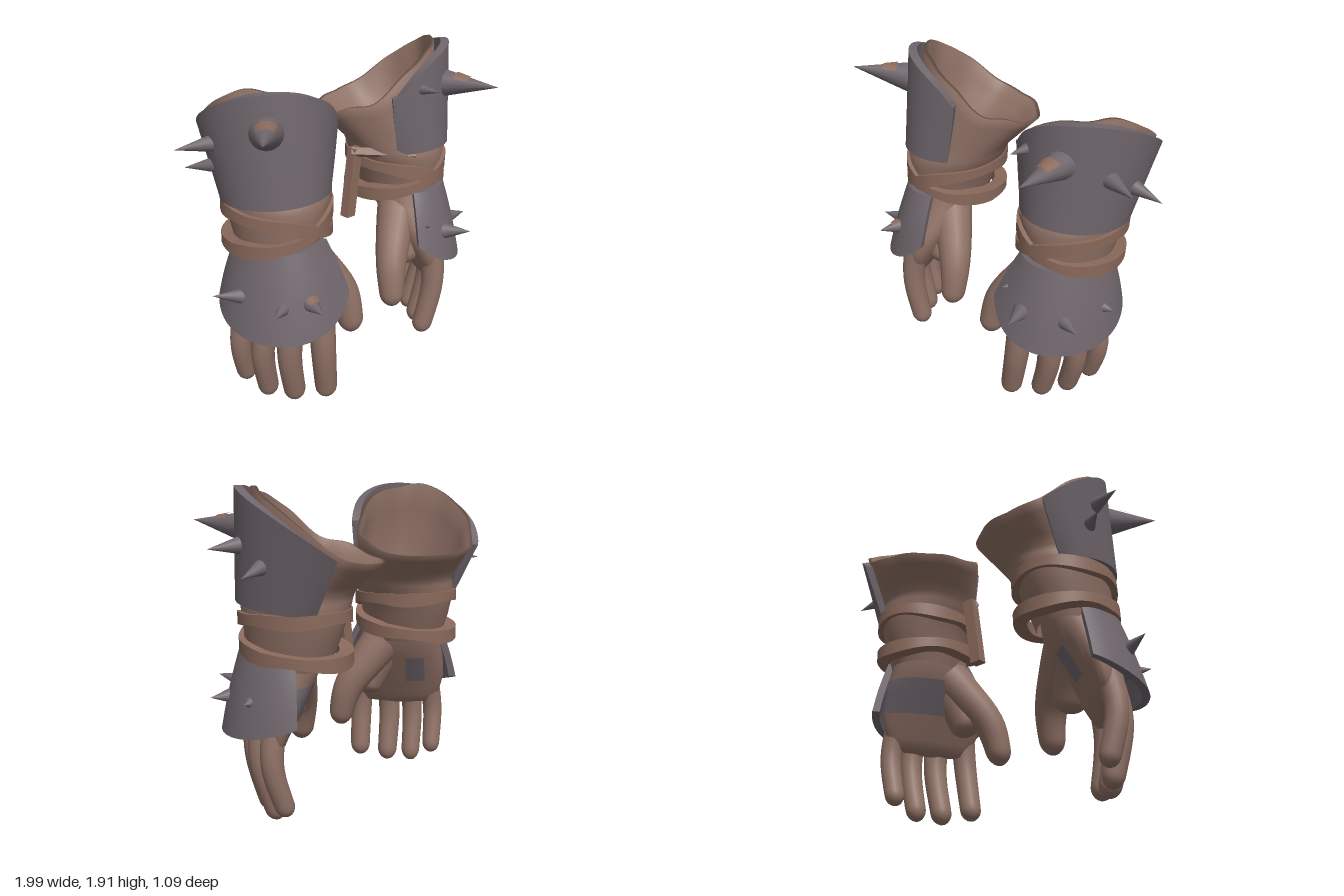
import * as THREE from 'three';
import { toCreasedNormals } from 'three/addons/utils/BufferGeometryUtils.js';

const { lerp, degToRad, clamp } = THREE.MathUtils;
const V = (x, y, z) => new THREE.Vector3(x, y, z);
const UP = V(0, 1, 0);

const paint = (name, color) => new THREE.MeshStandardMaterial({ name, color });
const leather = paint('brown leather', 0x8f7165);
const strapLeather = paint('strap leather', 0x8b6a5c);
const metal = paint('dull iron', 0x6f666c);

// Surface through a grid of points, optionally closed in either direction
function grid(nu, nv, closedU, closedV, fn) {
  const pos = [], idx = [];
  for (let i = 0; i < nu; i++) for (let j = 0; j < nv; j++) pos.push(...fn(i, j));
  for (let i = 0; i < nu - (closedU ? 0 : 1); i++) {
    for (let j = 0; j < nv - (closedV ? 0 : 1); j++) {
      const i2 = (i + 1) % nu, j2 = (j + 1) % nv;
      const a = i * nv + j, b = i2 * nv + j, c = i2 * nv + j2, d = i * nv + j2;
      idx.push(a, b, d, b, c, d);
    }
  }
  const g = new THREE.BufferGeometry();
  g.setAttribute('position', new THREE.Float32BufferAttribute(pos, 3));
  g.setIndex(idx);
  g.computeVertexNormals();
  return g;
}

// Point on an ellipse [y, cx, cz, rx, rz]; angle 0 is the front, 90 degrees the outer side
function ring([y, cx, cz, rx, rz], a, off = 0, turn = 0) {
  const x = (rx + off) * Math.sin(a), z = (rz + off) * Math.cos(a);
  const c = Math.cos(turn), s = Math.sin(turn);
  return [cx + x * c + z * s, y, cz - x * s + z * c];
}
const mix = (a, b, t) => a.map((v, i) => lerp(v, b[i], t));

// Smooth height from [degrees, height] pairs
function along(pairs, deg) {
  const at = i => pairs[clamp(i, 0, pairs.length - 1)];
  const slope = i => (at(i + 1)[1] - at(i - 1)[1]) / (at(i + 1)[0] - at(i - 1)[0]);
  let i = 0;
  while (i < pairs.length - 2 && deg > at(i + 1)[0]) i++;
  const h = at(i + 1)[0] - at(i)[0], t = clamp((deg - at(i)[0]) / h, 0, 1), s = 1 - t;
  return s * s * (1 + 2 * t) * at(i)[1] + t * t * (3 - 2 * t) * at(i + 1)[1]
    + h * t * s * (s * slope(i) - t * slope(i + 1));
}

// Thick open plate: outer face, rim, inner face, and closed ends
function plateShell(fn, thick, n = 40, rows = 8) {
  return toCreasedNormals(grid(n + 3, rows * 2, false, true, (i, j) => {
    const u = clamp((i - 1) / n, 0, 1), outer = j < rows;
    const t = (outer ? j : rows * 2 - 1 - j) / (rows - 1);
    const end = i === 0 || i === n + 2;
    return fn(u, t, end ? -thick / 2 : outer ? 0 : -thick);
  }), 0.8);
}

// Tapered limb with a rounded tip
function limb(points, r0, r1, roundEnd = 0.12) {
  const path = new THREE.CatmullRomCurve3(points.map(p => V(...p)));
  const n = 24, sides = 16, f = path.computeFrenetFrames(n);
  return grid(sides, n + 1, true, false, (i, j) => {
    const t = Math.sin((j / n) * Math.PI / 2), e = Math.max(0, (t - 1 + roundEnd) / roundEnd);
    const r = lerp(r0, r1, t) * Math.sqrt(Math.max(0, 1 - e * e)), k = Math.round(t * n);
    const a = (i / sides) * Math.PI * 2;
    return path.getPointAt(t).addScaledVector(f.normals[k], r * Math.cos(a))
      .addScaledVector(f.binormals[k], r * Math.sin(a)).toArray();
  });
}

// Cone from the plate to its tip, or a thin worn patch on the cone's upper side
function spike(base, tip, r, worn) {
  const b = V(...base), dir = V(...tip).sub(b), len = dir.length();
  dir.normalize();
  const top = Math.atan2(-dir.x, -dir.z) - 0.9;
  const g = worn ? new THREE.CylinderGeometry(r * 0.5 + 0.003, r * 0.74 + 0.003, len * 0.24, 8, 1, true, top, 1.8)
    : new THREE.ConeGeometry(r, len + 0.03, 16);
  g.translate(0, worn ? len * 0.38 : len / 2 - 0.015, 0);
  g.applyQuaternion(new THREE.Quaternion().setFromUnitVectors(UP, dir));
  return g.translate(...base);
}

// Flat strip between two points
function strip(from, to, width, depth) {
  const a = V(...from), b = V(...to), d = b.clone().sub(a);
  const g = new THREE.BoxGeometry(width, d.length(), depth);
  g.applyQuaternion(new THREE.Quaternion().setFromUnitVectors(UP, d.normalize()));
  return g.translate(...a.add(b).multiplyScalar(0.5).toArray());
}

const plateTop = [[-36, 1.66], [-15, 1.8], [10, 1.885], [35, 1.915], [60, 1.9], [90, 1.82], [120, 1.7], [152, 1.55]];
const cuffTop = [[-180, 1.52], [-130, 1.51], [-95, 1.53], [-70, 1.59], [-45, 1.62],
  ...plateTop.slice(1).map(([a, y]) => [a, y + (a > 50 ? 0.012 : -0.025)]), [180, 1.52]];
const handPlateBottom = [[-34, 0.745], [-10, 0.63], [20, 0.565], [60, 0.55], [100, 0.575], [140, 0.65]];

// Leather sleeve: wrist, flared cuff, then the lining back down inside
function cuffGeometry() {
  const wrist = [[0.93, 0.53, -0.03, 0.2, 0.245], [1.1, 0.52, -0.045, 0.24, 0.295], [1.2, 0.51, -0.06, 0.258, 0.31],
    [1.26, 0.5, -0.06, 0.285, 0.32], [1.31, 0.485, -0.07, 0.288, 0.31], [1.35, 0.468, -0.085, 0.288, 0.298]];
  const low = wrist[5], up = [0, 0.43, -0.2, 0.37, 0.34];
  const lining = [[1.3, 0.5, -0.08, 0.2, 0.23], [1.1, 0.48, -0.09, 0.15, 0.19], [1.0, 0.48, -0.09, 0.12, 0.16], [0.98, 0.48, -0.09, 0, 0]];
  const n = 72;
  return grid(n, 17, true, false, (i, j) => {
    const deg = -180 + (360 * i) / n, a = degToRad(deg);
    if (j < 6) return ring(wrist[j], a);
    if (j > 12) return ring(lining[j - 13], a);
    const inside = j > 9, t = inside ? 1 - (j - 10) / 3.5 : (j - 5) / 4;
    up[0] = along(cuffTop, deg);
    return ring(mix(low, up, t), a, 0.005 * t * Math.cos(a * 9) - (inside ? 0.025 : 0));
  });
}

// Forearm plate wraps the front and outer side
const forearmPlate = start => plateShell((u, t, off) => {
  const topDeg = lerp(start, 152, u), a = degToRad(lerp(lerp(start - 12, 155, u), topDeg, t));
  const low = [1.315 - 0.035 * (1 - Math.cos(a)), 0.52, -0.055, 0.295, 0.325];
  return ring(mix(low, [along(plateTop, topDeg), 0.47, -0.165, 0.385, 0.395], t), a, off);
}, 0.05);

// Flared plate over the back of the hand
const handPlate = start => plateShell((u, t, off) => {
  const deg = lerp(start, 140, u), a = degToRad(deg);
  const low = [along(handPlateBottom, lerp(-34, 140, u)), 0.52, 0.02, 0.365, 0.4];
  const high = [1.05 - 0.04 * (1 - Math.cos(a)), 0.525, -0.01, 0.25, 0.28];
  return ring(mix(low, high, t), a, off + 0.008 * Math.sin(Math.PI * t));
}, 0.045);

// Palm as turned ellipses from knuckles to wrist
const palmRows = [[0.43, 0.61, 0.1, 0, 0], [0.45, 0.61, 0.1, 0.05, 0.22], [0.51, 0.61, 0.1, 0.085, 0.285],
  [0.65, 0.58, 0.085, 0.13, 0.325], [0.8, 0.545, 0.05, 0.165, 0.31], [0.93, 0.525, 0, 0.19, 0.255], [1.08, 0.53, -0.02, 0.2, 0.24]];
const palmTurn = degToRad(-32);
const palmGeometry = () => grid(32, 7, true, false, (i, j) => ring(palmRows[j], (i / 32) * Math.PI * 2, 0, palmTurn));

// Thin iron-coloured patch lying on the palm
const palmPatch = (a0, a1, y0, y1) => grid(17, 9, false, false, (i, j) => {
  const y = lerp(y0, y1, j / 8), k = palmRows.findIndex(r => r[0] > y), lo = palmRows[k - 1], hi = palmRows[k];
  return ring(mix(lo, hi, (y - lo[0]) / (hi[0] - lo[0])), degToRad(lerp(a0, a1, i / 16)), 0.007, palmTurn);
});

// One strap wound twice round the wrist, crossing itself at the front
function strapGeometry() {
  const n = 120;
  return toCreasedNormals(grid(n, 4, true, true, (i, j) => {
    const a = (i / n) * Math.PI * 4;
    const y = 1.135 + 0.115 * clamp(Math.sin(a / 2) * 1.35, -1, 1) - 0.014 * (1 - Math.cos(a)) + 0.012 * Math.sin(a * 2.5);
    const h = 0.036 + 0.006 * Math.sin(a * 3.5), up = j === 1 || j === 2, inner = j > 1;
    return ring([y + (up ? h : -h), 0.507, -0.06, 0.3, 0.335], a, inner ? -0.08 : 0);
  }), 0.8);
}

// Fingers from index to little: root, knuckle, tip, thickness
const fingers = [
  [[0.5, 0.66, 0.3], [0.5, 0.4, 0.325], [0.44, 0.045, 0.3], 0.078], [[0.6, 0.66, 0.19], [0.63, 0.38, 0.18], [0.555, 0.01, 0.155], 0.078],
  [[0.68, 0.66, 0.06], [0.72, 0.38, 0.05], [0.64, 0.015, 0.015], 0.074], [[0.72, 0.66, -0.08], [0.765, 0.4, -0.09], [0.695, 0.09, -0.12], 0.07],
];

const spikeSets = {
  left: [
    [[0.61, 1.69, 0.2], [0.675, 1.72, 0.55], 0.09], [[0.39, 1.7, 0.19], [0.39, 1.71, 0.34], 0.045],
    [[0.82, 1.61, 0.03], [0.985, 1.6, 0.07], 0.05], [[0.82, 1.51, -0.15], [0.99, 1.47, -0.18], 0.05],
    [[0.54, 0.77, 0.34], [0.605, 0.8, 0.51], 0.065], [[0.75, 0.75, 0.22], [0.88, 0.755, 0.26], 0.058],
    [[0.81, 0.77, -0.01], [0.89, 0.77, -0.03], 0.058], [[0.4, 0.84, 0.29], [0.39, 0.86, 0.36], 0.045],
  ],
  right: [
    [[0.73, 1.72, 0.12], [0.97, 1.785, 0.37], 0.1], [[0.83, 1.6, -0.22], [1.0, 1.59, -0.3], 0.05],
    [[0.8, 1.46, -0.26], [0.9, 1.445, -0.36], 0.045], [[0.61, 0.77, 0.31], [0.655, 0.775, 0.47], 0.068],
    [[0.79, 0.76, 0.02], [0.97, 0.8, -0.07], 0.062], [[0.72, 0.75, 0.24], [0.84, 0.76, 0.3], 0.055],
  ],
};

// Builds on the +x side, leans the glove slightly, then mirrors it if needed
function buildGlove(side) {
  const glove = new THREE.Group(), right = side === 'right', k = right ? -0.045 : 0.045;
  const lean = new THREE.Matrix4().set(1, k, 0, -1.4 * k, 0, 1, 0, 0, 0, 0, 1, 0, 0, 0, 0, 1);
  glove.name = side + 'Gauntlet';
  const add = (name, g, mat) => {
    g.applyMatrix4(lean);
    if (right) {
      g.scale(-1, 1, 1);
      const idx = g.index ? [...g.index.array] : [...Array(g.attributes.position.count).keys()];
      for (let i = 0; i < idx.length; i += 3) [idx[i], idx[i + 1]] = [idx[i + 1], idx[i]];
      g.setIndex(idx);
    }
    const mesh = new THREE.Mesh(g, mat);
    mesh.name = name;
    glove.add(mesh);
  };
  add('cuff', cuffGeometry(), leather);
  add('palm', palmGeometry(), leather);
  fingers.forEach(([a, b, c, r], i) => add('finger' + (i + 1), limb([a, b, c], r, r * 0.82), leather));
  add('thumb', limb([[0.46, 0.95, 0.04], [0.345, 0.8, 0.11], [0.22, 0.6, 0.2], [0.18, 0.345, 0.26]], 0.14, 0.07), leather);
  add('thumbWeb', limb([[0.48, 0.88, 0.07], [0.41, 0.72, 0.13], [0.34, 0.55, 0.18]], 0.14, 0.095, 0.2), leather);
  add('forearmPlate', forearmPlate(right ? -32 : -40), metal);
  add('handPlate', handPlate(right ? -28 : -36), metal);
  add('palmPatch', right ? palmPatch(232, 256, 0.62, 0.8) : palmPatch(172, 282, 0.65, 0.85), metal);
  add('wristStrap', strapGeometry(), strapLeather);
  spikeSets[side].forEach(([b, t, r], i) => add('spike' + (i + 1), spike(b, t, r), metal));
  add('spikeWear', spike(...spikeSets[side][0], true), strapLeather);
  if (right) add('studWear', spike(...spikeSets.right[3], true), strapLeather);
  else {
    add('hangingStrap', strip([0.15, 1.33, -0.08], [0.104, 0.89, -0.08], 0.07, 0.06), strapLeather);
    add('strapTie', strip([0.12, 1.31, -0.08], [0.38, 1.3, 0.21], 0.04, 0.045), strapLeather);
  }
  return glove;
}

export function createModel() {
  const model = new THREE.Group();
  model.name = 'spikedGauntlets';
  model.add(buildGlove('left'), buildGlove('right'));
  return model;
}
